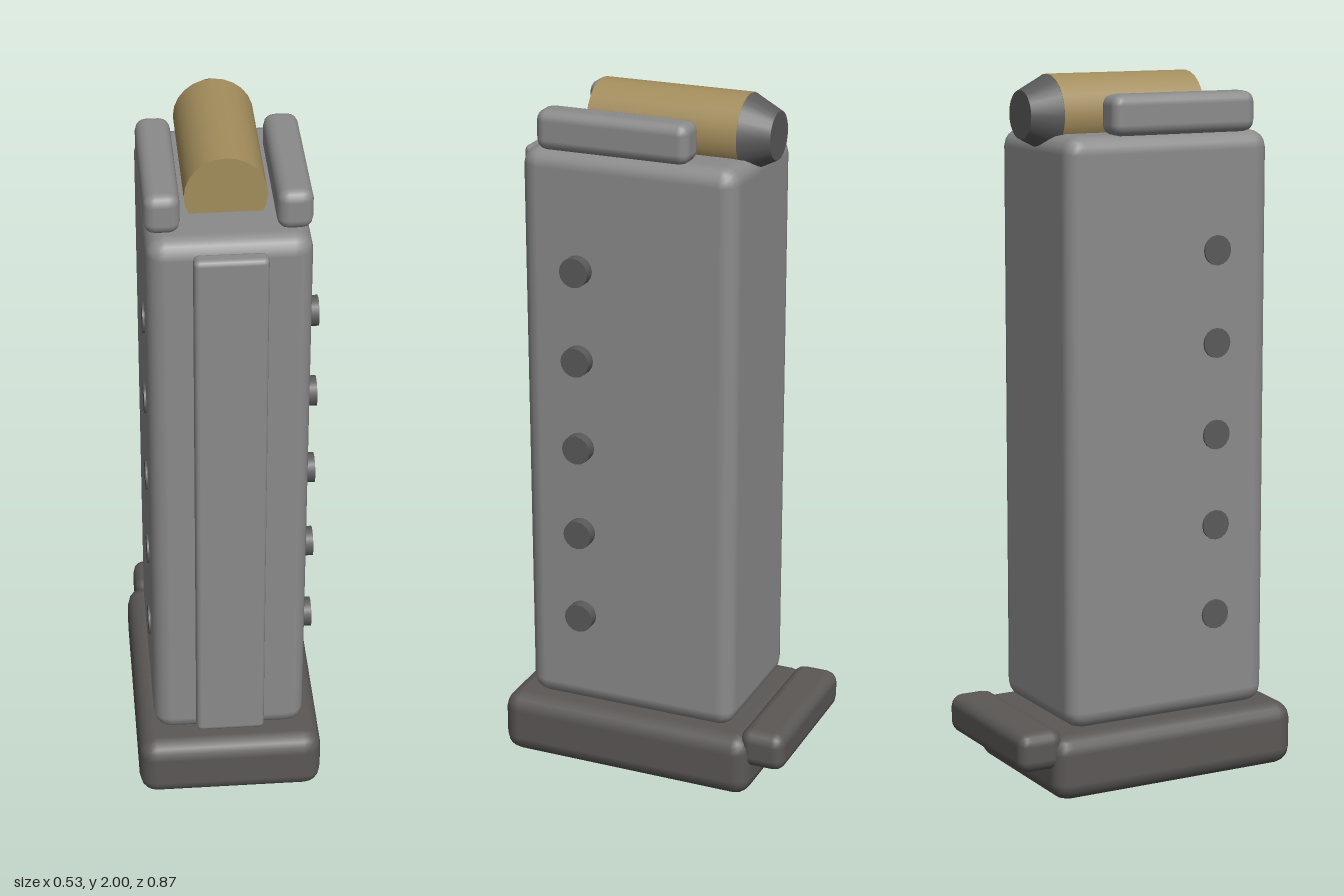
import * as THREE from 'three';
import { RoundedBoxGeometry } from 'three/addons/geometries/RoundedBoxGeometry.js';

export function createModel() {
  const model = new THREE.Group();
  model.name = 'magazine';

  const material = (name, color) => {
    const m = new THREE.MeshStandardMaterial({ color });
    m.name = name;
    return m;
  };
  const steel = material('steel', 0x8b8b8b);
  const darkPolymer = material('darkPolymer', 0x5b5856);
  const darkMetal = material('darkMetal', 0x5a5a5a);
  const brass = material('brass', 0xa38d5c);

  const add = (name, geometry, mat) => {
    const mesh = new THREE.Mesh(geometry, mat);
    mesh.name = name;
    model.add(mesh);
    return mesh;
  };

  // Rounded block given by its limits on each axis
  const block = (name, [x0, x1], [y0, y1], [z0, z1], radius, mat) => {
    const g = new RoundedBoxGeometry(x1 - x0, y1 - y0, z1 - z0, 2, radius);
    g.translate((x0 + x1) / 2, (y0 + y1) / 2, (z0 + z1) / 2);
    return add(name, g, mat);
  };

  // Main casing and the rib along its front
  block('casing', [-0.216, 0.216], [0.195, 1.842], [-0.268, 0.364], 0.05, steel);
  block('frontRib', [-0.097, 0.097], [0.23, 1.812], [0.358, 0.406], 0.015, steel);

  // Base plate with rear toe and a button underneath
  block('basePlate', [-0.264, 0.264], [0.01, 0.195], [-0.335, 0.435], 0.05, darkPolymer);
  block('rearToe', [-0.24, 0.24], [0.103, 0.216], [-0.435, -0.3], 0.035, darkPolymer);
  add('baseButton', new THREE.CylinderGeometry(0.06, 0.06, 0.03, 20), darkPolymer)
    .position.set(0, 0.015, 0.17);

  // Feed lips, mirrored
  for (const side of [-1, 1]) {
    const lip = block(side > 0 ? 'leftFeedLip' : 'rightFeedLip',
      [-0.047, 0.047], [1.838, 1.95], [-0.13, 0.315], 0.03, steel);
    lip.position.x = side * 0.171;
  }

  // Witness pins: proud on one side, almost flush on the other
  for (let i = 0; i < 5; i++) {
    const pin = add('witnessPin' + (i + 1),
      new THREE.CylinderGeometry(0.042, 0.042, 0.47, 16), darkMetal);
    pin.rotation.z = Math.PI / 2;
    pin.position.set(0.013, 0.48 + i * 0.259, 0.19);
  }

  // Top round: brass case with a blunt tapered tip pointing back
  const round = (name, rTip, rBase, zTip, zBase, mat) => {
    const g = new THREE.CylinderGeometry(rTip, rBase, zBase - zTip, 24);
    g.rotateX(-Math.PI / 2);
    g.translate(0, 1.891, (zTip + zBase) / 2);
    add(name, g, mat);
  };
  round('cartridgeCase', 0.109, 0.109, -0.225, 0.21, brass);
  round('cartridgeTip', 0.067, 0.108, -0.306, -0.225, darkMetal);

  return model;
}
